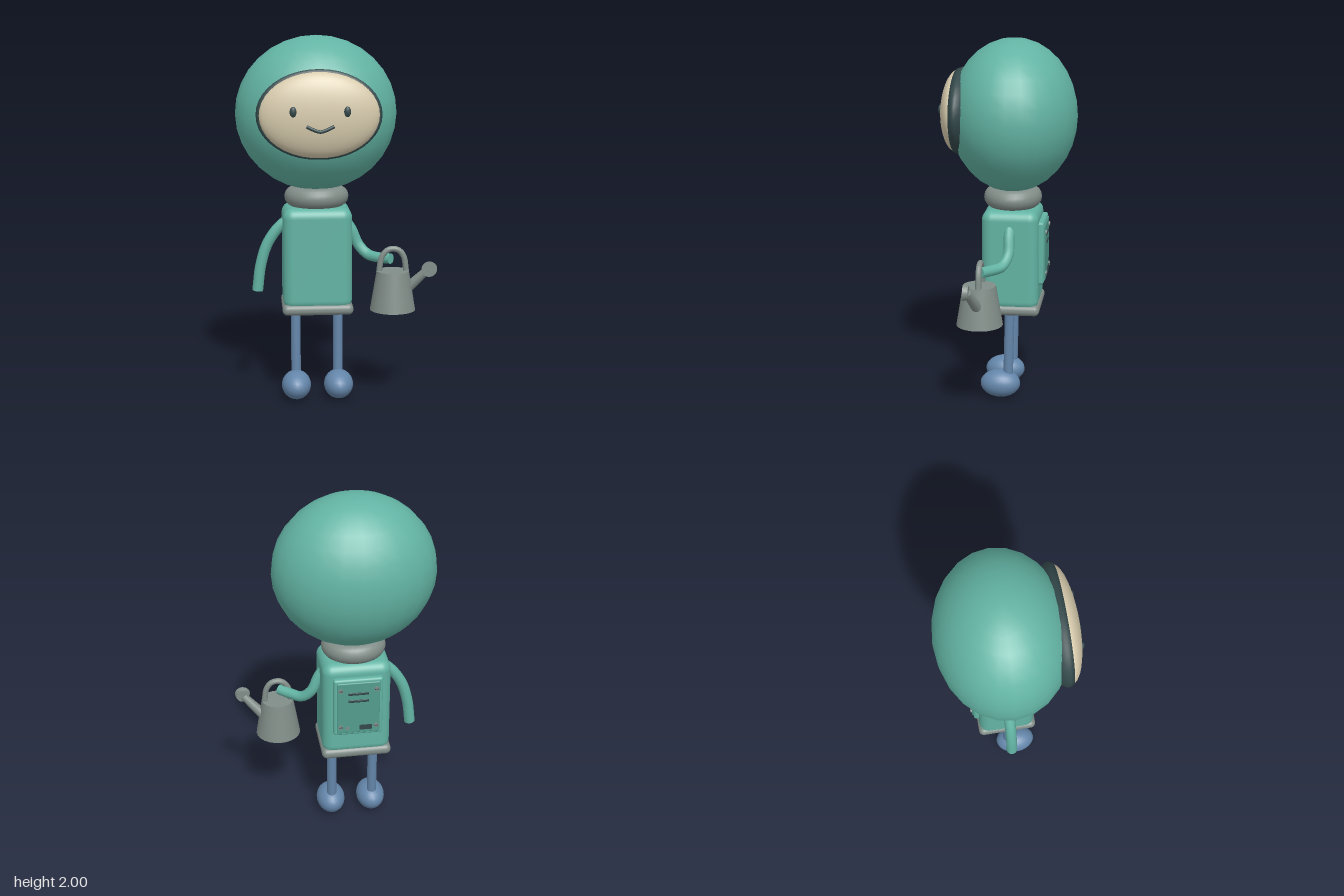
import * as THREE from 'three';
import { RoundedBoxGeometry } from 'three/addons/geometries/RoundedBoxGeometry.js';

const mat = (name, color) => Object.assign(new THREE.MeshStandardMaterial({ color }), { name });
const V = (x, y, z) => new THREE.Vector3(x, y, z);

export function createModel() {
  const teal = mat('teal suit', 0x62b3a3);
  const panelTeal = mat('panel teal', 0x529c8d);
  const grey = mat('grey metal', 0x818d88);
  const blue = mat('blue legs', 0x6486aa);
  const cream = mat('cream face', 0xd8ccae);
  const dark = mat('dark trim', 0x33484a);

  const model = new THREE.Group();
  model.name = 'gardener';
  const CX = -0.105, CZ = -0.027; // body axis

  const add = (name, geo, material, x = 0, y = 0, z = 0, parent = model) => {
    const m = new THREE.Mesh(geo, material);
    m.name = name;
    m.position.set(x, y, z);
    parent.add(m);
    return m;
  };
  const ellipsoid = (rx, ry, rz, w = 24, h = 16) => new THREE.SphereGeometry(1, w, h).scale(rx, ry, rz);

  // Curved tube with flat ends
  const cappedTube = (name, points, r, material, parent = model) => {
    const curve = new THREE.CatmullRomCurve3(points);
    const g = new THREE.Group();
    g.name = name;
    parent.add(g);
    add(name + 'Tube', new THREE.TubeGeometry(curve, 20, r, 12), material, 0, 0, 0, g);
    for (const t of [0, 1]) {
      const p = curve.getPoint(t);
      const cap = add(name + 'Cap', new THREE.CircleGeometry(r, 12), material, p.x, p.y, p.z, g);
      cap.lookAt(p.clone().addScaledVector(curve.getTangent(t), t ? 1 : -1));
    }
    return g;
  };
  // Straight tapered rod between two points
  const rod = (name, a, b, ra, rb, material, parent = model) => {
    const d = b.clone().sub(a), c = a.clone().add(b).multiplyScalar(0.5);
    const m = add(name, new THREE.CylinderGeometry(rb, ra, d.length(), 14), material, c.x, c.y, c.z, parent);
    m.quaternion.setFromUnitVectors(V(0, 1, 0), d.normalize());
    return m;
  };

  // Head with framed face
  add('head', ellipsoid(0.435, 0.415, 0.347), teal, CX, 1.585, -0.03);
  const frameProfile = [[0.28, -0.06], [0.312, -0.03], [0.327, -0.004], [0.327, 0.008], [0.316, 0.03], [0.28, 0.03]]
    .map(([r, y]) => new THREE.Vector2(r, y));
  add('faceFrame', new THREE.LatheGeometry(frameProfile, 40).rotateX(Math.PI / 2).scale(1, 0.715, 1),
    dark, CX, 1.603, 0.25);
  add('face', ellipsoid(0.314, 0.223, 0.088, 36, 20), cream, CX, 1.603, 0.27);
  for (const s of [-1, 1]) add('eye', ellipsoid(0.018, 0.027, 0.012, 14, 10), dark, CX + s * 0.138, 1.627, 0.348);
  cappedTube('mouth', [V(CX - 0.07, 1.553, 0.353), V(CX - 0.035, 1.537, 0.361), V(CX, 1.527, 0.364),
    V(CX + 0.035, 1.537, 0.361), V(CX + 0.07, 1.553, 0.353)], 0.009, dark);

  // Collar, torso and belt
  add('collar', new THREE.TorusGeometry(0.12, 0.055, 16, 32).rotateX(Math.PI / 2).scale(1, 1, 0.91), grey, CX, 1.135, CZ);
  add('torso', new RoundedBoxGeometry(0.374, 0.56, 0.31, 5, 0.055), teal, CX, 0.805, CZ);
  add('belt', new RoundedBoxGeometry(0.385, 0.06, 0.326, 4, 0.028), grey, CX, 0.53, CZ);

  // Legs and feet
  for (const s of [-1, 1]) {
    const x = CX + s * 0.117;
    rod('leg', V(x, 0.13, -0.014), V(x, 0.51, -0.022), 0.027, 0.027, blue);
    add('foot', ellipsoid(0.081, 0.078, 0.112, 24, 14), blue, x, 0.083, 0.03);
  }

  // Arms
  cappedTube('rightArm', [V(-0.24, 1.02, CZ), V(-0.31, 0.965, CZ), V(-0.375, 0.87, CZ),
    V(-0.412, 0.75, CZ), V(-0.43, 0.61, CZ)], 0.03, teal);
  cappedTube('leftArm', [V(0.035, 1.02, CZ), V(0.085, 0.95, CZ), V(0.125, 0.86, CZ),
    V(0.175, 0.81, 0), V(0.23, 0.802, 0.05), V(0.29, 0.805, 0.1)], 0.029, teal);

  // Watering can
  const can = new THREE.Group();
  can.name = 'wateringCan';
  model.add(can);
  const kx = 0.301, kz = 0.104;
  add('canBody', new THREE.CylinderGeometry(0.088, 0.124, 0.215, 24), grey, kx, 0.6325, kz, can);
  cappedTube('canHandle', [V(kx - 0.075, 0.73, 0.1), V(kx - 0.06, 0.815, 0.1), V(kx - 0.03, 0.852, 0.1),
    V(kx, 0.86, 0.1), V(kx + 0.035, 0.85, 0.1), V(kx + 0.06, 0.815, 0.1), V(kx + 0.074, 0.73, 0.1)], 0.016, grey, can);
  rod('canSpout', V(0.38, 0.64, 0.105), V(0.487, 0.752, 0.142), 0.03, 0.021, grey, can);
  add('canRose', new THREE.CylinderGeometry(0.043, 0.036, 0.028, 18).rotateX(Math.PI / 2), grey, 0.492, 0.757, 0.147, can);

  // Back panel with vents, screws and socket
  const pack = new THREE.Group();
  pack.name = 'backPanel';
  model.add(pack);
  add('panelBase', new RoundedBoxGeometry(0.27, 0.35, 0.04, 3, 0.014), teal, CX, 0.845, -0.19, pack);
  add('panelCover', new RoundedBoxGeometry(0.235, 0.315, 0.016, 3, 0.007), panelTeal, CX, 0.845, -0.209, pack);
  for (const y of [0.935, 0.89]) add('vent', new RoundedBoxGeometry(0.11, 0.015, 0.008, 2, 0.003), dark, CX, y, -0.217, pack);
  for (const sx of [-1, 1]) for (const y of [0.73, 0.96]) {
    add('screw', new THREE.CylinderGeometry(0.013, 0.013, 0.01, 14).rotateX(Math.PI / 2), grey, CX + sx * 0.097, y, -0.219, pack);
    add('screwSlot', new THREE.BoxGeometry(0.02, 0.004, 0.003), dark, CX + sx * 0.097, y, -0.2245, pack);
  }
  add('socket', new THREE.BoxGeometry(0.07, 0.028, 0.008), dark, CX - 0.04, 0.722, -0.218, pack);
  add('button', new THREE.CylinderGeometry(0.009, 0.009, 0.008, 12).rotateX(Math.PI / 2), grey, CX + 0.06, 0.722, -0.219, pack);

  return model;
}
